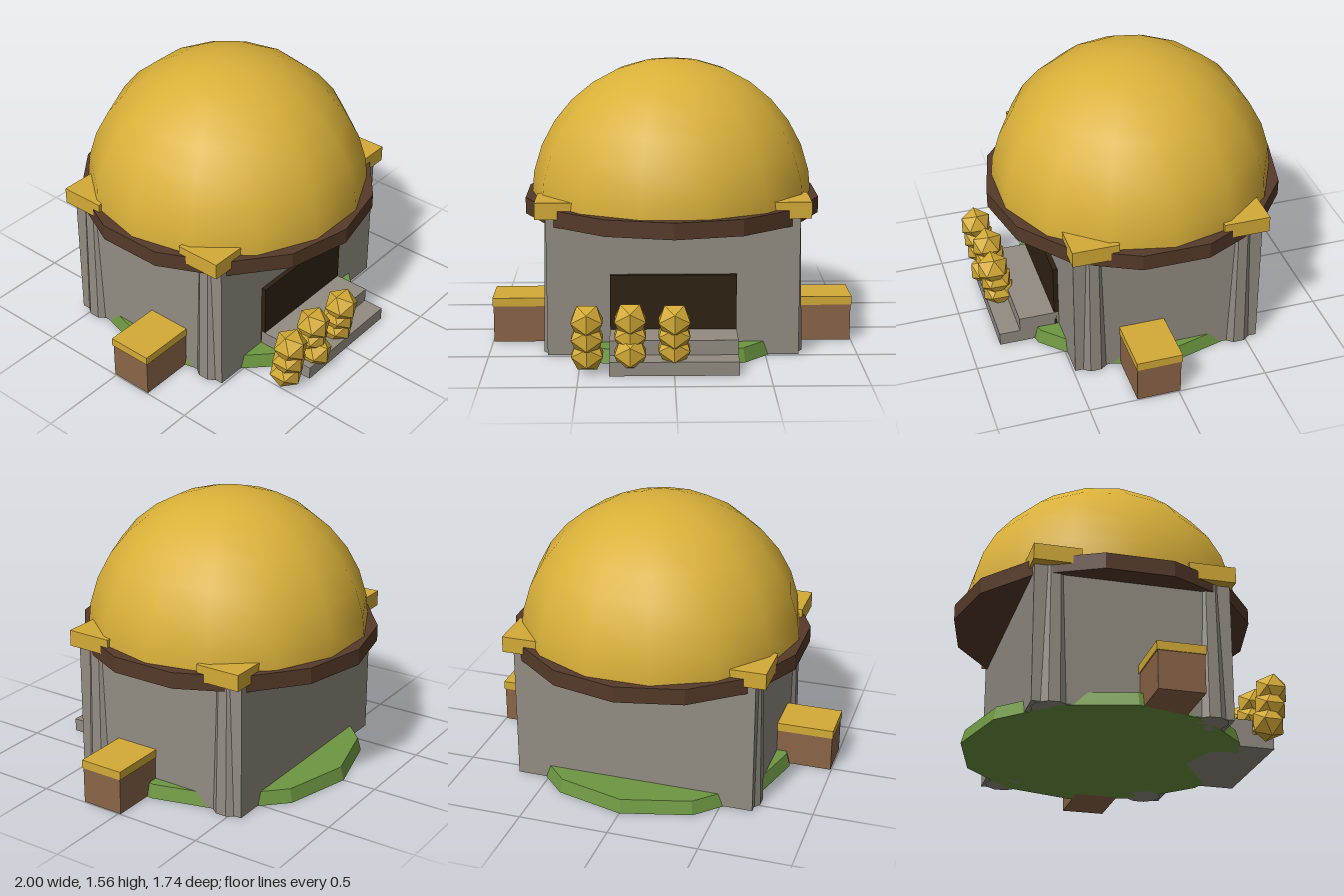
import * as THREE from 'three';

export function createModel() {
  const root = new THREE.Group();
  root.name = 'domedHut';
  const mat = (name, color, flat = true) => {
    const m = new THREE.MeshStandardMaterial({ color, flatShading: flat });
    m.name = name;
    return m;
  };
  const stone = mat('stone', 0x928c82);
  const gold = mat('gold', 0xd4ab36);
  const smoothGold = mat('smoothGold', 0xd9b039, false);
  const darkWood = mat('darkWood', 0x553a29);
  const clay = mat('clay', 0x8b6547);
  const doorway = mat('doorway', 0x2e2212);
  const grass = mat('grass', 0x6d9641);

  const add = (name, geometry, material, x, y, z) => {
    const mesh = new THREE.Mesh(geometry, material);
    mesh.name = name;
    mesh.position.set(x, y, z);
    root.add(mesh);
    return mesh;
  };
  // Box given by its lowest and highest corners
  const box = (name, material, x0, x1, y0, y1, z0, z1) =>
    add(name, new THREE.BoxGeometry(x1 - x0, y1 - y0, z1 - z0), material,
      (x0 + x1) / 2, (y0 + y1) / 2, (z0 + z1) / 2);

  const cz = -0.04; // centre of the building

  // Ground, walls, roof rim and dome
  add('grassMound', new THREE.CylinderGeometry(0.745, 0.765, 0.076, 12), grass, 0, 0.038, cz);
  box('walls', stone, -0.68, 0.68, 0.003, 0.76, cz - 0.53, cz + 0.53);
  add('roofRim', new THREE.CylinderGeometry(0.832, 0.832, 0.09, 14), darkWood, 0, 0.76, cz);
  add('dome', new THREE.SphereGeometry(0.79, 14, 8, 0, Math.PI * 2, 0, Math.PI / 2),
    smoothGold, 0, 0.765, cz);

  // Door and two front steps
  box('door', doorway, -0.34, 0.34, 0.02, 0.455, 0.47, 0.516);
  box('upperStep', stone, -0.34, 0.34, 0.003, 0.155, 0.45, 0.716);
  box('lowerStep', stone, -0.34, 0.34, 0, 0.075, 0.45, 0.833);

  for (const side of [-1, 1]) {
    // Corner columns with gold capitals
    for (const end of [-1, 1]) {
      const x = side * 0.61, z = cz + end * 0.418;
      add('column', new THREE.CylinderGeometry(0.084, 0.1, 0.76, 10), stone, x, 0.38, z);
      box('capital', gold, x - 0.128, x + 0.128, 0.76, 0.85, z - 0.128, z + 0.128);
    }
    // Side chests with gold lids
    const x = side * 0.83;
    box('chest', clay, x - 0.165, x + 0.165, 0, 0.205, -0.012, 0.232);
    box('chestLid', gold, x - 0.17, x + 0.17, 0.205, 0.252, -0.018, 0.237);
  }

  // Three stacks of faceted bundles in front
  const ball = new THREE.IcosahedronGeometry(0.097, 0);
  const depths = [[0.785, 0.775, 0.76], [0.765, 0.755, 0.785], [0.785, 0.77, 0.76]];
  [-0.455, -0.23, 0].forEach((x, i) => {
    depths[i].forEach((z, j) => {
      const y = 0.284 - j * (0.094 - i * 0.007);
      add('bundle', ball, gold, x, y, z);
    });
  });
  return root;
}
